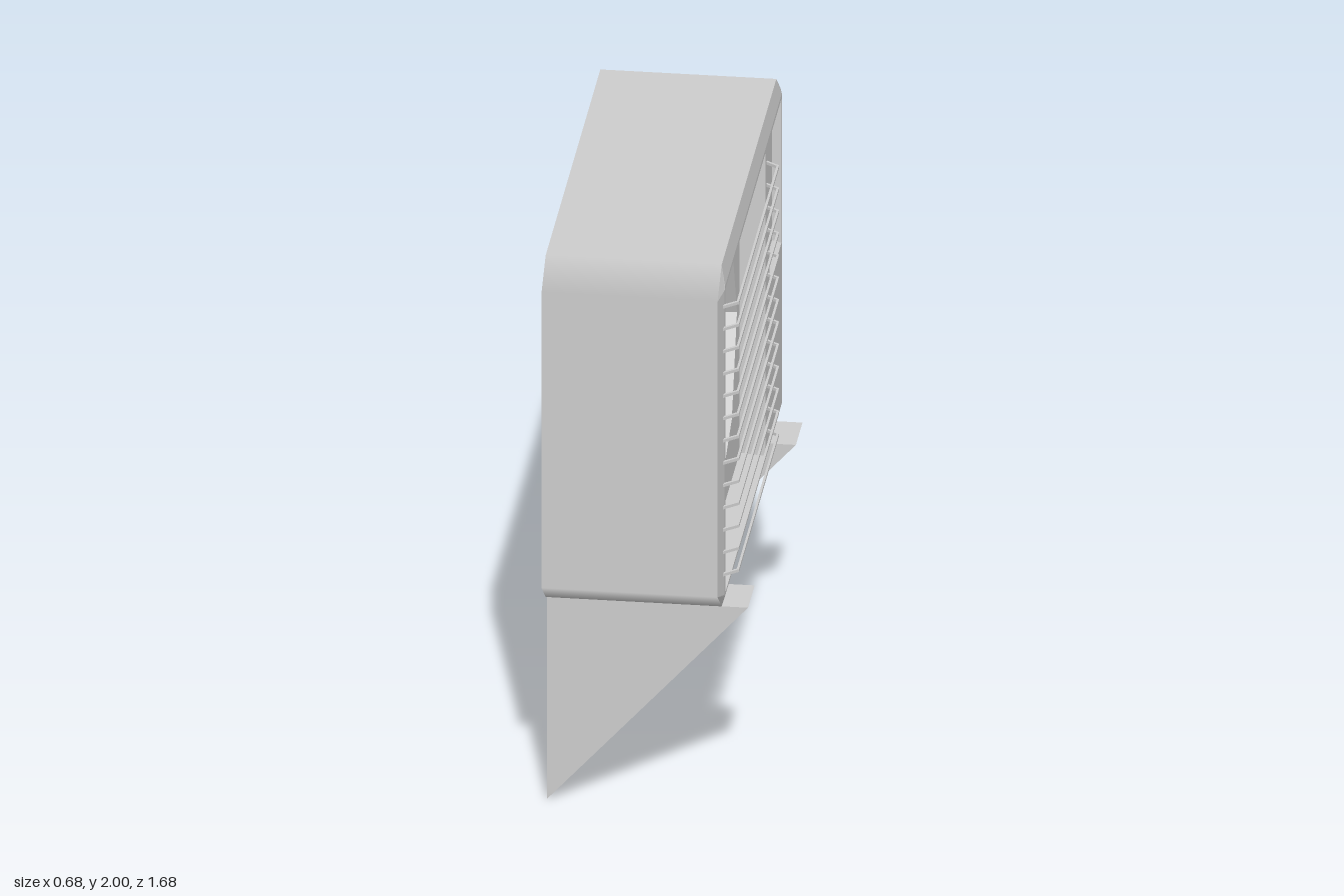
import * as THREE from 'three';

const mat = new THREE.MeshStandardMaterial({ color: 0xcccccc, side: THREE.DoubleSide });

// Flat-shaded strip of quads between two rows of points
function loft(a, b, closed = true) {
  const pos = [];
  const n = a.length;
  for (let i = 0; i < (closed ? n : n - 1); i++) {
    const j = (i + 1) % n;
    for (const p of [a[i], a[j], b[j], a[i], b[j], b[i]]) pos.push(...p);
  }
  const g = new THREE.BufferGeometry();
  g.setAttribute('position', new THREE.Float32BufferAttribute(pos, 3));
  g.computeVertexNormals();
  return g;
}

const at = (ring, z) => ring.map(([x, y]) => [x, y, z]);
const rect = (x0, x1, y0, y1) => [[x0, y0], [x1, y0], [x1, y1], [x0, y1]];

// Rectangle with its corners cut
const cutRect = (x0, x1, y0, y1, cx, cy) => [
  [x0 + cx, y0], [x1 - cx, y0], [x1, y0 + cy], [x1, y1 - cy],
  [x1 - cx, y1], [x0 + cx, y1], [x0, y1 - cy], [x0, y0 + cy],
];

const polygon = (n, r, cx, cy, turn = 0) => Array.from({ length: n }, (_, i) => {
  const t = turn + (i / n) * Math.PI * 2;
  return [cx + r * Math.cos(t), cy + r * Math.sin(t)];
});

// Flat sheet with holes, at depth z
function sheet(ring, holes, z) {
  const toPts = (r) => r.map(([x, y]) => new THREE.Vector2(x, y));
  const s = new THREE.Shape(toPts(ring));
  for (const h of holes) s.holes.push(new THREE.Path(toPts(h)));
  return new THREE.ShapeGeometry(s).translate(0, 0, z);
}

export function createModel() {
  const model = new THREE.Group();
  model.name = 'outdoorAirUnit';
  // Built facing +z, then turned to face +x
  const unit = new THREE.Group();
  unit.name = 'unit';
  unit.rotation.y = Math.PI / 2;
  model.add(unit);

  const add = (name, geo, parent = unit) => {
    const m = new THREE.Mesh(geo, mat);
    m.name = name;
    parent.add(m);
    return m;
  };

  // Casing: open at the back, flat sides blending over the cut corners
  const outer = cutRect(-0.838, 0.838, 0.743, 2, 0.11, 0.085);
  const shell = loft(at(outer, -0.34), at(outer, 0.25));
  const p = shell.attributes.position;
  for (let i = 0; i < p.count; i++) {
    const x = p.getX(i);
    if (Math.abs(x) > 0.83) shell.attributes.normal.setXYZ(i, Math.sign(x), 0, 0);
    else shell.attributes.normal.setXYZ(i, 0, Math.sign(p.getY(i) - 1.37), 0);
  }
  add('casing', shell);

  // Front panel with a bevelled rim and two openings
  const FRONT = 0.265;
  const face = cutRect(-0.765, 0.765, 0.795, 1.935, 0.01, 0.01);
  const fanHole = rect(-0.75, 0.32, 0.805, 1.92);
  const sideHole = rect(0.42, 0.745, 1.39, 1.92);
  add('frontRim', loft(at(outer, 0.25), at(face, FRONT)));
  add('frontPanel', sheet(face, [fanHole, sideHole], FRONT));

  // Shallow recess beside the grille
  const sideFloor = rect(0.435, 0.73, 1.405, 1.905);
  add('sideRecessWalls', loft(at(sideFloor, 0.235), at(sideHole, FRONT)));
  add('sideRecessFloor', sheet(sideFloor, [], 0.235));

  // Fan recess with an eight-sided drum sunk into its floor
  const CX = -0.232, CY = 1.37;
  const fanFloor = rect(-0.737, 0.308, 0.818, 1.907);
  const drumFront = polygon(8, 0.468, CX, CY);
  const drumBack = polygon(8, 0.455, CX, CY);
  const hubBack = polygon(6, 0.085, CX, CY, Math.PI / 6);
  const hubFront = polygon(6, 0.075, CX, CY, Math.PI / 6);
  add('fanRecessWalls', loft(at(fanFloor, 0.18), at(fanHole, FRONT)));
  add('fanRecessFloor', sheet(fanFloor, [drumFront], 0.18));
  add('drumWall', loft(at(drumBack, 0.1), at(drumFront, 0.18)));
  add('drumBack', sheet(drumBack, [hubBack], 0.1));

  // Fan: hollow hub, square nut and four twisted blades
  const fan = new THREE.Group();
  fan.name = 'fan';
  unit.add(fan);
  add('hubSide', loft(at(hubBack, 0.1), at(hubFront, 0.165)), fan);
  add('hubCap', sheet(hubFront, [], 0.165), fan);
  add('hubNut', new THREE.BoxGeometry(0.03, 0.03, 0.02).translate(CX, CY, 0.17), fan);
  const lead = [[0, 0.08, 0.11], [-0.015, 0.24, 0.112], [0.125, 0.37, 0.115]];
  const trail = [[0.07, 0.04, 0.15], [0.165, 0.14, 0.155], [0.4, 0.135, 0.15]];
  for (let i = 0; i < 4; i++) {
    const blade = add('fanBlade', loft(trail, lead, false), fan);
    blade.position.set(CX, CY, 0);
    blade.rotation.z = -i * Math.PI / 2;
  }

  // Grille: bent horizontal bars whose ends return to the panel
  const bar = new THREE.Shape([
    [-0.785, 0.26], [-0.742, 0.31], [0.325, 0.31], [0.36, 0.26],
    [0.35, 0.26], [0.32, 0.302], [-0.737, 0.302], [-0.773, 0.26],
  ].map(([x, z]) => new THREE.Vector2(x, z)));
  const barGeo = new THREE.ExtrudeGeometry(bar, { depth: 0.01, bevelEnabled: false })
    .rotateX(Math.PI / 2);
  const grille = new THREE.Group();
  grille.name = 'grille';
  unit.add(grille);
  for (let i = 0; i < 13; i++) add('grilleBar', barGeo, grille).position.y = 0.89 + i * 0.0821;

  // Legs: folded sheet brackets, open at the back
  const profile = [[-0.335, 0], [-0.11, 0.645], [0.338, 0.742], [-0.335, 0.742]];
  const sideways = (x) => profile.map(([z, y]) => [x, y, z]);
  for (const s of [-1, 1]) {
    const leg = new THREE.Group();
    leg.name = s < 0 ? 'leftLeg' : 'rightLeg';
    unit.add(leg);
    const a = s * 0.55, b = s * 0.725;
    add('legFold', loft(sideways(a), sideways(b), false), leg);
    for (const x of [a, b]) {
      const q = sideways(x);
      add('legCheek', loft([q[0], q[1]], [q[3], q[2]], false), leg);
    }
  }

  // Cross rail between the legs
  const rail = (x) => [[x, 0.645, -0.3], [x, 0.645, -0.11], [x, 0.742, -0.11]];
  add('crossRail', loft(rail(-0.55), rail(0.55), false));

  return model;
}
